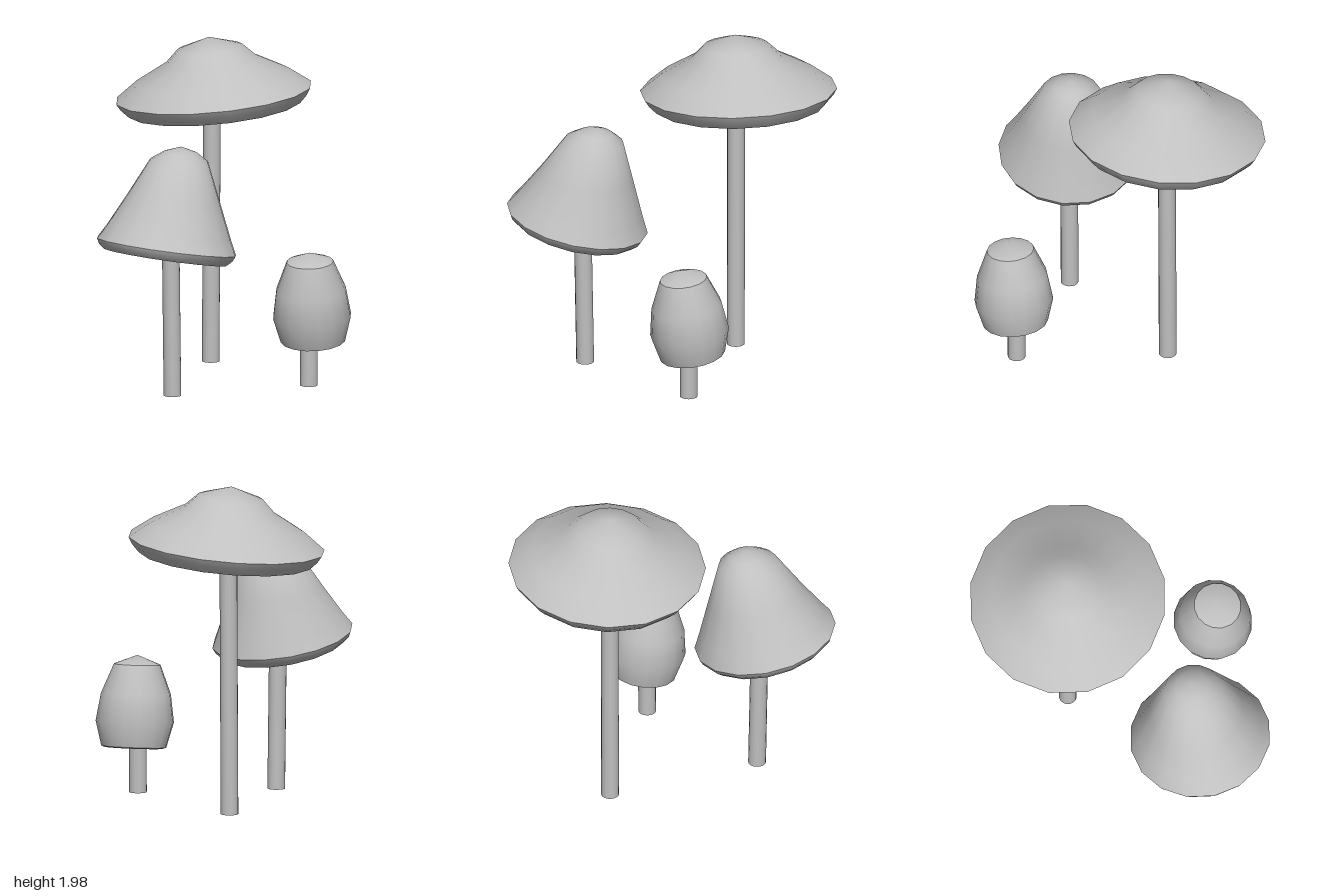
import * as THREE from 'three';
import { toCreasedNormals } from 'three/addons/utils/BufferGeometryUtils.js';

const SIDES = 16;
const STEM_RADIUS = 0.053;

// Hollow cap. The profile lists [radius, height] from the apex, over the rim, up the inside.
// Ring centres slide from the rim centre to the apex; the rim's tilt fades upward by "fade".
function capGeometry({ rim, apex, tilt, fade, profile }) {
  const pos = [], index = [];
  profile.forEach(([r, y], i) => {
    const t = (y - rim.y) / (apex.y - rim.y);
    const centre = rim.clone().lerp(apex, t);
    const slope = 1 - fade * t;
    for (let j = 0; j < SIDES; j++) {
      const a = (j / SIDES) * Math.PI * 2;
      const dx = r * Math.cos(a), dz = r * Math.sin(a);
      pos.push(centre.x + dx, y + slope * (tilt.x * dx + tilt.y * dz), centre.z + dz);
      if (i === profile.length - 1) continue;
      const k = (j + 1) % SIDES, p = i * SIDES, q = p + SIDES;
      if (r > 0) index.push(p + j, p + k, q + j);
      index.push(p + k, q + k, q + j);
    }
  });
  const g = new THREE.BufferGeometry();
  g.setAttribute('position', new THREE.Float32BufferAttribute(pos, 3));
  g.setIndex(index);
  return toCreasedNormals(g, 0.8);
}

// Round stem, leaning slightly from foot to head
function stemGeometry(foot, head) {
  const axis = head.clone().sub(foot);
  const g = new THREE.CylinderGeometry(STEM_RADIUS, STEM_RADIUS, axis.y, SIDES);
  g.translate(0, axis.y / 2, 0);
  const lean = new THREE.Matrix4().set(
    1, axis.x / axis.y, 0, foot.x,
    0, 1, 0, foot.y,
    0, axis.z / axis.y, 1, foot.z,
    0, 0, 0, 1,
  );
  return g.applyMatrix4(lean);
}

function mushroom(name, material, foot, head, capShape) {
  const group = new THREE.Group();
  group.name = name;
  const stem = new THREE.Mesh(stemGeometry(foot, head), material);
  stem.name = 'stem';
  const cap = new THREE.Mesh(capGeometry(capShape), material);
  cap.name = 'cap';
  group.add(stem, cap);
  return group;
}

export function createModel() {
  const grey = new THREE.MeshStandardMaterial({ color: 0xc0c0c0 });
  grey.name = 'plainGrey';
  const v = (x, y, z) => new THREE.Vector3(x, y, z);
  const model = new THREE.Group();
  model.name = 'mushroomCluster';

  // Tall, with a wide flat cap
  model.add(mushroom('wideMushroom', grey, v(-0.203, 0, -0.4), v(-0.195, 1.76, -0.4), {
    rim: v(-0.188, 1.637, -0.412),
    apex: v(-0.215, 1.98, -0.4),
    tilt: new THREE.Vector2(0.094, 0),
    fade: 0,
    profile: [
      [0, 1.98], [0.195, 1.915], [0.27, 1.84], [0.46, 1.735], [0.588, 1.637],
      [0.565, 1.598], [0.52, 1.55], [0.25, 1.68], [0.03, 1.77],
    ],
  }));

  // Medium, with a leaning bell cap
  model.add(mushroom('bellMushroom', grey, v(-0.23, 0, 0.54), v(-0.24, 1.3, 0.56), {
    rim: v(-0.257, 0.915, 0.58),
    apex: v(-0.19, 1.508, 0.48),
    tilt: new THREE.Vector2(-0.1, 0.18),
    fade: 0.7,
    profile: [
      [0, 1.508], [0.1, 1.475], [0.175, 1.425], [0.28, 1.2], [0.375, 1.0], [0.42, 0.915],
      [0.405, 0.885], [0.37, 0.855], [0.24, 1.15], [0.13, 1.34], [0.02, 1.39],
    ],
  }));

  // Small, with a closed egg-shaped cap
  model.add(mushroom('buttonMushroom', grey, v(0.515, 0.01, 0.145), v(0.518, 0.66, 0.145), {
    rim: v(0.537, 0.285, 0.13),
    apex: v(0.53, 0.83, 0.19),
    tilt: new THREE.Vector2(0, -0.14),
    fade: 0.2,
    profile: [
      [0, 0.83], [0.14, 0.775], [0.21, 0.6], [0.235, 0.435], [0.195, 0.285],
      [0.175, 0.278], [0.145, 0.3], [0.18, 0.45], [0.13, 0.65], [0.02, 0.71],
    ],
  }));

  return model;
}
